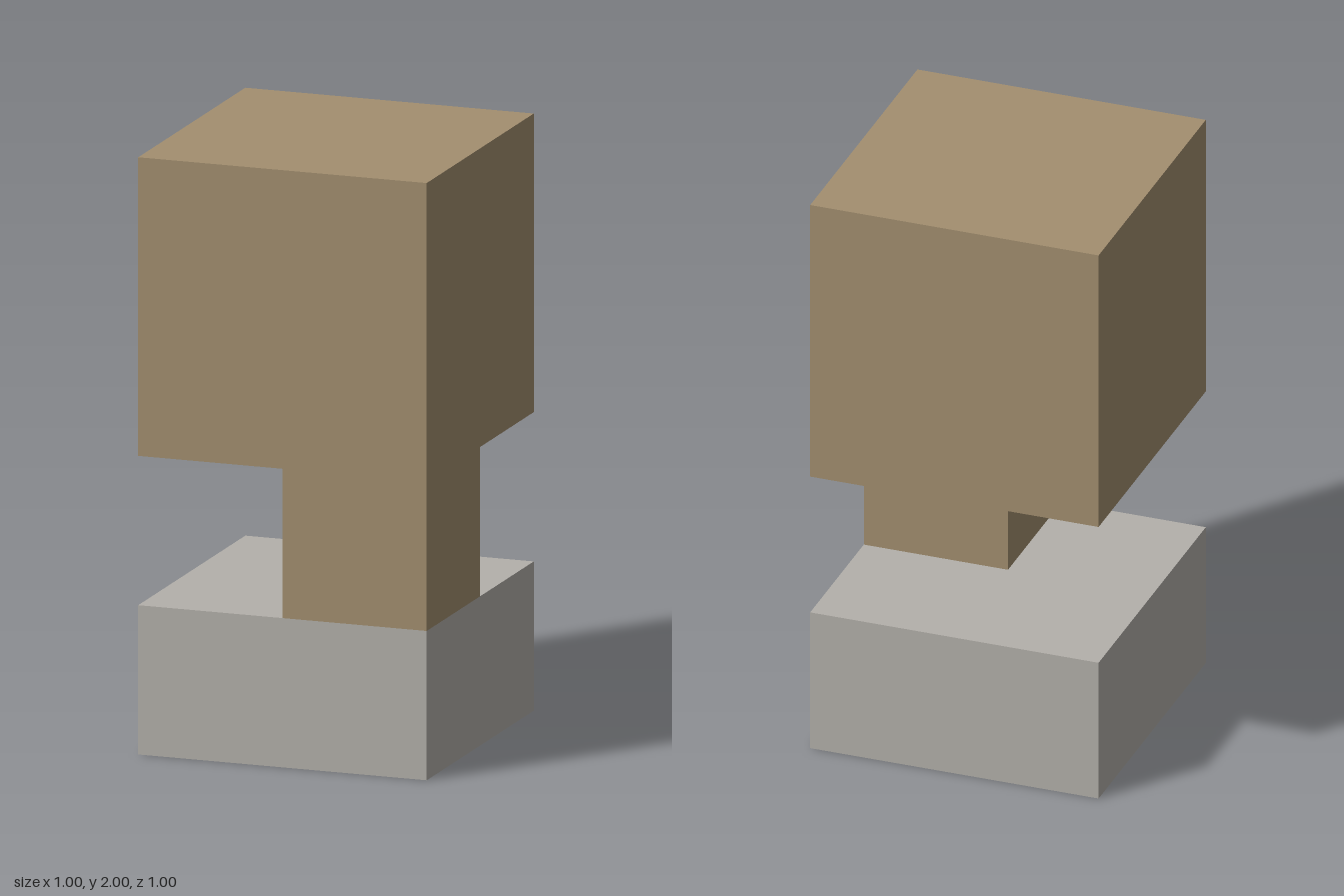
import * as THREE from 'three';

// BoxGeometry stores its six sides in this order, six indices each
const SIDES = ['right', 'left', 'top', 'bottom', 'front', 'back'];

// Thin-walled box with the listed sides left open
function shell(name, size, position, material, open) {
  const geometry = new THREE.BoxGeometry(...size);
  const index = Array.from(geometry.index.array);
  geometry.setIndex(index.filter((_, i) => !open.includes(SIDES[Math.floor(i / 6)])));
  geometry.clearGroups();
  const mesh = new THREE.Mesh(geometry, material);
  mesh.name = name;
  mesh.position.set(...position);
  return mesh;
}

export function createModel() {
  const wood = new THREE.MeshStandardMaterial({ color: 0xa38f70, side: THREE.DoubleSide });
  wood.name = 'tan wood';
  const stone = new THREE.MeshStandardMaterial({ color: 0xb4b1ab, side: THREE.DoubleSide });
  stone.name = 'grey stone';

  const model = new THREE.Group();
  model.name = 'blockOnPost';
  model.add(
    // Hollow base, open underneath
    shell('base', [1, 0.5, 1], [0, 0.25, 0], stone, ['bottom']),
    // Corner post, flush with the front left edges
    shell('cornerPost', [0.5, 0.5, 0.5], [0.25, 0.75, 0.25], wood, ['top', 'bottom']),
    // Hollow upper block, open underneath
    shell('upperBlock', [1, 1, 1], [0, 1.5, 0], wood, ['bottom']),
  );
  return model;
}
